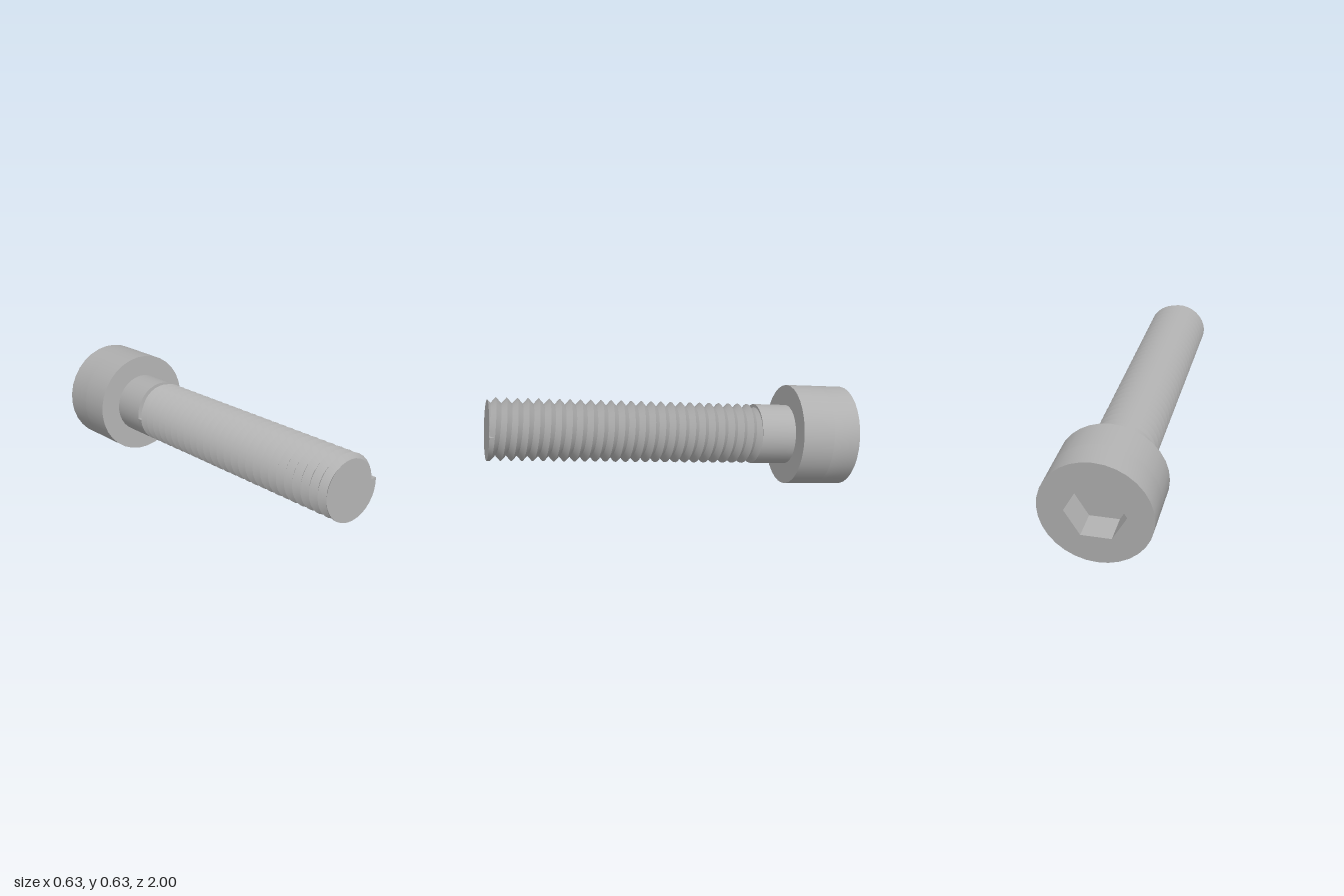
import * as THREE from 'three';
import { toCreasedNormals } from 'three/addons/utils/BufferGeometryUtils.js';

const SEG = 32;
const PITCH = 0.0545, TURNS = 26.5;
const MAJOR = 0.163, MINOR = 0.133;
const HEAD_R = 0.2745, HEAD_H = 0.327, SHANK_L = 0.191;
const SOCKET_R = 0.148, SOCKET_D = 0.15;

// Single-start V thread running from z = 0 (tip) back along -z, with its flat tip
function threadGeometry() {
  const pos = [];
  const point = (r, f, u) => [r * Math.cos(f * 2 * Math.PI), r * Math.sin(f * 2 * Math.PI), -u * PITCH];
  const tri = (a, b, c) => pos.push(...a, ...b, ...c);
  // f is the fraction of a turn, u the distance from the tip in pitches
  const radius = (f, g, u) => {
    if (u < f - 0.5 || TURNS - u < g - 0.5) return MAJOR;   // run-out at both ends
    const d = Math.abs(u - f - Math.round(u - f));
    return MINOR + 2 * d * (MAJOR - MINOR);
  };
  for (let j = 0; j < SEG; j++) {
    const wrap = j >= SEG / 2 ? 1 : 0;
    const edge = (f) => {
      const rows = [];
      for (let k = -2; k <= 2 * TURNS + 1; k++) {
        const u = Math.min(TURNS, Math.max(0, f + k / 2));
        rows.push({ u, p: point(radius(f, 0.5 - f + wrap, u), f, u) });
      }
      return rows;
    };
    const A = edge(j / SEG), B = edge((j + 1) / SEG);
    for (let i = 0; i < A.length - 1; i++) {
      if (A[i + 1].u > A[i].u) tri(A[i].p, A[i + 1].p, B[i].p);
      if (B[i + 1].u > B[i].u) tri(B[i].p, A[i + 1].p, B[i + 1].p);
    }
    tri([0, 0, 0], A[0].p, B[0].p);
  }
  // small steps where the thread starts and ends
  const step = [point(MINOR, 0, 0), point(MAJOR, 0, 0), point(MAJOR, 0, 0.5)];
  tri(...step);
  tri(...step.map(([x, y, z]) => [-x, y, -TURNS * PITCH - z]));
  const geo = new THREE.BufferGeometry();
  geo.setAttribute('position', new THREE.Float32BufferAttribute(pos, 3));
  return toCreasedNormals(geo, 0.5);
}

// Cylinder along z between two stations
function rod(r, zFront, zBack) {
  const geo = new THREE.CylinderGeometry(r, r, zFront - zBack, SEG);
  return geo.rotateX(Math.PI / 2).translate(0, 0, (zFront + zBack) / 2);
}

// Outer ring of the head with the hexagonal socket through it
function socketRing(zBack) {
  const shape = new THREE.Shape();
  shape.absarc(0, 0, HEAD_R, 0, Math.PI * 2, false);
  const hex = [];
  for (let i = 0; i < 6; i++) {
    const a = -i * Math.PI / 3;
    hex.push(new THREE.Vector2(SOCKET_R * Math.cos(a), SOCKET_R * Math.sin(a)));
  }
  shape.holes.push(new THREE.Path(hex).closePath());
  const geo = new THREE.ExtrudeGeometry(shape, { depth: SOCKET_D, bevelEnabled: false, curveSegments: SEG / 2 });
  return toCreasedNormals(geo.translate(0, 0, zBack), 0.5);
}

export function createModel() {
  const model = new THREE.Group();
  model.name = 'socketHeadBolt';
  const steel = new THREE.MeshStandardMaterial({ color: 0xb0b0b0 });
  steel.name = 'steel grey';

  const bolt = new THREE.Group();
  bolt.name = 'bolt';
  const add = (name, geo) => {
    const mesh = new THREE.Mesh(geo, steel);
    mesh.name = name;
    bolt.add(mesh);
  };

  const shankFront = -TURNS * PITCH;
  const headFront = shankFront - SHANK_L;
  const headBack = headFront - HEAD_H;
  add('thread', threadGeometry());
  add('shank', rod(MAJOR, shankFront, headFront));
  add('headBase', rod(HEAD_R, headFront, headBack + SOCKET_D));
  add('headSocket', socketRing(headBack));

  // the bolt leans: tip up and to one side
  const axis = new THREE.Vector3(-0.195, 0.197, 1.943).normalize();
  bolt.quaternion.setFromUnitVectors(new THREE.Vector3(0, 0, 1), axis);
  bolt.position.set(-0.155, 0.475, 0.981);
  model.add(bolt);
  return model;
}
